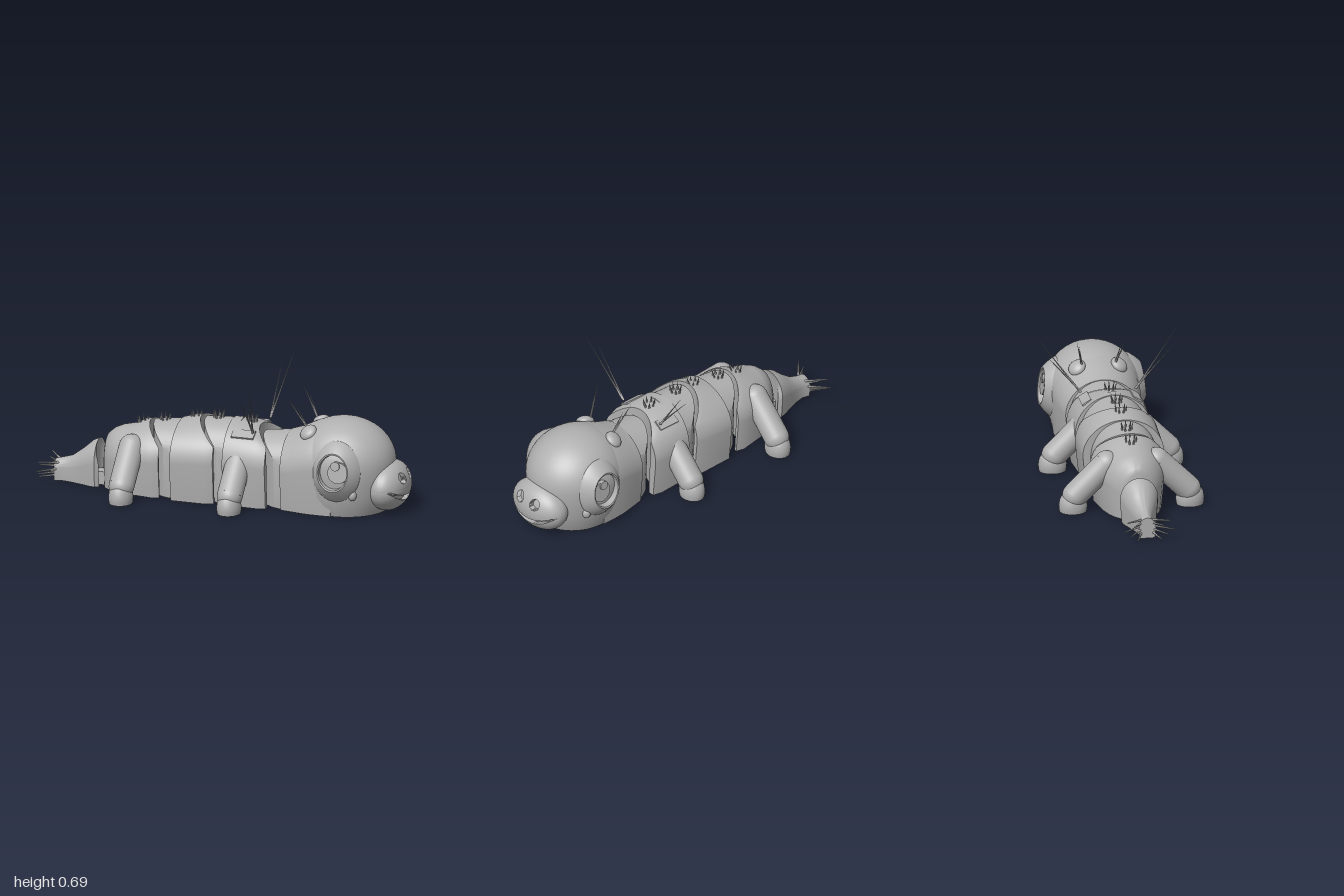
import * as THREE from 'three';
import { toCreasedNormals } from 'three/addons/utils/BufferGeometryUtils.js';

const grey = new THREE.MeshStandardMaterial({ color: 0xb0b0b0 });
grey.name = 'plain grey';
const V = (x, y, z) => new THREE.Vector3(x, y, z);

function add(parent, name, geo, x = 0, y = 0, z = 0) {
  const m = new THREE.Mesh(geo, grey);
  m.name = name;
  m.position.set(x, y, z);
  parent.add(m);
  return m;
}

// Loft of domed, flat-bottomed sections along x: [x or x(z), halfWidth, height]
function loft(sections, n = 28) {
  const pos = [], idx = [], ring = 2 * (n + 1);
  for (const [x, w, h] of sections) {
    const at = (y, z, zx) => pos.push(typeof x === 'function' ? x(zx) : x, y, z);
    const top = [];
    for (let i = 0; i <= n; i++) {
      const a = Math.PI * i / n;
      top.push([w * Math.cos(a), h * (0.52 + 0.48 * Math.sin(a))]);
    }
    top.forEach(([z, y]) => at(y, z, z));
    top.reverse().forEach(([z]) => at(0, z * 0.9, z));
  }
  for (let k = 0; k < sections.length - 1; k++) {
    for (let j = 0; j < ring; j++) {
      const a = k * ring + j, b = k * ring + (j + 1) % ring, c = a + ring, d = b + ring;
      idx.push(a, c, b, b, c, d);
    }
  }
  const e = (sections.length - 1) * ring;
  for (let i = 0; i < n; i++) {
    const t = i, u = i + 1, b = ring - 1 - i, c = ring - 2 - i;
    idx.push(t, u, b, u, c, b);
    idx.push(e + t, e + b, e + u, e + u, e + b, e + c);
  }
  const g = new THREE.BufferGeometry();
  g.setAttribute('position', new THREE.Float32BufferAttribute(pos, 3));
  g.setIndex(idx);
  return toCreasedNormals(g, 0.6);
}

// Thin tapered or straight rod between two points
function rod(parent, name, a, b, r0, r1 = 0.0005, sides = 5) {
  const d = b.clone().sub(a);
  const m = add(parent, name, new THREE.CylinderGeometry(r1, r0, d.length(), sides));
  m.position.copy(a).addScaledVector(d, 0.5);
  m.quaternion.setFromUnitVectors(V(0, 1, 0), d.normalize());
  return m;
}

// Curved ends of the hinged segments
const arc = (c, r, edge = c) => z => Math.min(edge, c - Math.sqrt(Math.max(0, r * r - z * z)));
const back = (f, d) => z => f(z) - d;

function buildBody(g) {
  // Round hinge drums behind the head and two middle segments
  for (const [c, r, h0, h1] of [[0.4, 0.18, 0.365, 0.39], [0.08, 0.18, 0.41, 0.42], [-0.2, 0.175, 0.37, 0.39]]) {
    add(g, 'hingeDrum', loft([[arc(c, r), r - 0.004, h0], [c + 0.02, r - 0.004, h1]]));
    add(g, 'hingeLink', new THREE.BoxGeometry(0.08, 0.1, 0.06), c - 0.19, 0.06, 0);
  }
  // Shells, each with a hollow front edge
  const f1 = arc(0.4, 0.2, 0.28), f2 = arc(0.08, 0.2, 0), f3 = arc(-0.2, 0.195, -0.3);
  add(g, 'frontShell', loft([[0.05, 0.2, 0.42], [back(f1, 0.05), 0.213, 0.415], [f1, 0.2, 0.4]]));
  add(g, 'middleShell', loft([[-0.23, 0.212, 0.39], [back(f2, 0.04), 0.218, 0.412], [f2, 0.203, 0.418]]));
  add(g, 'rearShell', loft([[-0.635, 0.06, 0.25], [-0.625, 0.085, 0.275], [-0.59, 0.12, 0.305], [-0.55, 0.145, 0.322],
    [-0.48, 0.17, 0.337], [back(f3, 0.04), 0.197, 0.362], [f3, 0.183, 0.37]]));
  // Pivot rings underneath
  for (const x of [0.37, 0.08, -0.21, -0.5]) {
    for (const r of [0.09, 0.05]) {
      const t = add(g, 'pivotRing', new THREE.TorusGeometry(r, 0.006, 6, 32), x, 0.003, 0);
      t.rotation.x = Math.PI / 2;
    }
  }
  // Tufts of spikes along the back
  for (const [x, y] of [[-0.44, 0.345], [-0.32, 0.37], [-0.15, 0.4], [-0.03, 0.413], [0.15, 0.408]]) {
    for (let i = 0; i < 7; i++) {
      const a = i * Math.PI * 2 / 7;
      rod(g, 'backSpike', V(x + 0.02 * Math.cos(a), y - 0.015, 0.02 * Math.sin(a)),
        V(x + 0.032 * Math.cos(a), y + 0.04, 0.032 * Math.sin(a)), 0.008, 0.001);
    }
  }
}

function buildTail(g) {
  add(g, 'tailHinge', new THREE.BoxGeometry(0.1, 0.07, 0.07), -0.64, 0.035, 0);
  add(g, 'tail', loft([[-0.91, 0.045, 0.11], [-0.87, 0.034, 0.12], [-0.82, 0.045, 0.135], [-0.76, 0.068, 0.18],
    [-0.71, 0.09, 0.225], [-0.675, 0.1, 0.24], [arc(-0.57, 0.12, -0.645), 0.085, 0.2]]));
  // Two splayed bunches of tail bristles
  for (const s of [1, -1]) {
    for (let i = 0; i < 5; i++) {
      rod(g, 'tailBristle', V(-0.89, 0.03 + 0.016 * i, s * 0.025),
        V(-0.985 + 0.004 * i, 0.02 + 0.023 * i, s * (0.06 + 0.035 * ((i * 2) % 5) / 2)), 0.007, 0.003);
    }
  }
}

// Muzzle: ellipsoid with a smiling mouth groove and two nostrils pressed in
function muzzleGeometry() {
  const geo = new THREE.SphereGeometry(1, 160, 128);
  geo.rotateZ(-Math.PI / 2);
  geo.scale(0.11, 0.13, 0.175);
  const p = geo.attributes.position;
  for (let i = 0; i < p.count; i++) {
    const x = p.getX(i), y = p.getY(i), z = p.getZ(i);
    if (x <= 0) continue;
    const k = 1 - (z / 0.168) ** 2;
    if (k > 0 && y < 0.006 - 0.045 * k && y > 0.006 - 0.073 * k) p.setX(i, x - Math.min(0.025, x));
    if (Math.hypot(y - 0.055, Math.abs(z) - 0.055) < 0.027) p.setX(i, x - 0.025);
  }
  return toCreasedNormals(geo, 0.5);
}

function buildHead(g) {
  add(g, 'headBack', loft([[0.36, 0.193, 0.385], [0.42, 0.207, 0.405], [0.5, 0.225, 0.445], [0.57, 0.23, 0.465], [0.64, 0.23, 0.47]]));
  const prof = [[0, 0], [0.2, 0], [0.201, 0.002], [0.228, 0.1], [0.242, 0.19], [0.244, 0.25]];
  for (let i = 1; i <= 14; i++) {
    const a = i / 14 * Math.PI / 2;
    prof.push([0.244 * Math.cos(a), 0.25 + 0.229 * Math.sin(a)]);
  }
  const dome = add(g, 'headDome', toCreasedNormals(
    new THREE.LatheGeometry(prof.map(q => new THREE.Vector2(...q)), 64), 0.6), 0.65, 0, 0);
  dome.scale.x = 1.1;
  add(g, 'muzzle', muzzleGeometry(), 0.89, 0.14, 0);
}

// Everything that exists once per side, built at +z
function buildSide() {
  const s = new THREE.Group();
  // Raised eye ring with pupil and glint
  const eye = new THREE.Group();
  eye.name = 'eye';
  eye.position.set(0.67, 0.245, 0.2);
  eye.rotation.x = -0.12;
  s.add(eye);
  const ring = [[0.158, -0.07], [0.158, 0.005], [0.152, 0.015], [0.125, 0.045], [0.1, 0.066], [0.092, 0.064], [0.088, 0.02]];
  const rim = add(eye, 'eyeRing', toCreasedNormals(
    new THREE.LatheGeometry(ring.map(q => new THREE.Vector2(...q)), 56), 0.5));
  rim.rotation.x = Math.PI / 2;
  rim.scale.x = 0.83;
  const pupil = add(eye, 'pupil', new THREE.CylinderGeometry(0.055, 0.055, 0.06, 32), 0.025, 0, 0.025);
  pupil.rotation.x = Math.PI / 2;
  const glint = add(eye, 'glint', new THREE.CylinderGeometry(0.024, 0.024, 0.06, 24), 0.012, 0.035, 0.033);
  glint.rotation.x = Math.PI / 2;
  add(s, 'tear', new THREE.SphereGeometry(0.022, 20, 14), 0.76, 0.125, 0.208).scale.y = 1.3;

  // Ear bud with short hairs
  const ear = add(s, 'ear', new THREE.SphereGeometry(0.047, 24, 16), 0.49, 0.41, 0.11);
  ear.scale.y = 0.6;
  ear.rotation.set(0.6, 0, 0.4);
  for (const [x, y, z] of [[0.385, 0.585, 0.128], [0.4, 0.565, 0.122], [0.425, 0.55, 0.11]]) {
    rod(s, 'earHair', V(0.48, 0.42, 0.085), V(x, y, z), 0.006);
  }

  // Back plate with long feelers
  const plate = add(s, 'feelerPlate', new THREE.BoxGeometry(0.12, 0.009, 0.055), 0.145, 0.374, 0.132);
  plate.rotation.x = 0.55;
  rod(s, 'feeler', V(0.2, 0.39, 0.145), V(0.255, 0.69, 0.368), 0.006);
  rod(s, 'feeler', V(0.2, 0.39, 0.14), V(0.195, 0.62, 0.34), 0.006);

  // Legs: slanted upper limb, round knee and flat-soled foot
  for (const x of [-0.46, 0.125]) {
    const hip = V(x, 0.25, 0.13), knee = V(x, 0.085, 0.295);
    rod(s, 'upperLeg', hip, knee, 0.066, 0.066, 32);
    add(s, 'hip', new THREE.SphereGeometry(0.066, 32, 20)).position.copy(hip);
    add(s, 'knee', new THREE.SphereGeometry(0.066, 32, 20)).position.copy(knee);
    const foot = [[0, 0], [0.07, 0], [0.073, 0.015], [0.074, 0.035], [0.069, 0.065], [0.055, 0.09], [0.03, 0.108], [0, 0.115]];
    const f = add(s, 'foot', toCreasedNormals(
      new THREE.LatheGeometry(foot.map(q => new THREE.Vector2(...q)), 36), 0.7), x, 0, 0.305);
    f.scale.x = 0.85;
  }
  return s;
}

export function createModel() {
  const model = new THREE.Group();
  model.name = 'jointedCaterpillar';
  const g = new THREE.Group();
  g.name = 'body';
  g.position.z = 0.02;
  model.add(g);
  buildBody(g);
  buildTail(g);
  buildHead(g);
  for (const k of [1, -1]) {
    const s = buildSide();
    s.name = k > 0 ? 'nearSide' : 'farSide';
    s.scale.z = k;
    g.add(s);
  }
  return model;
}
